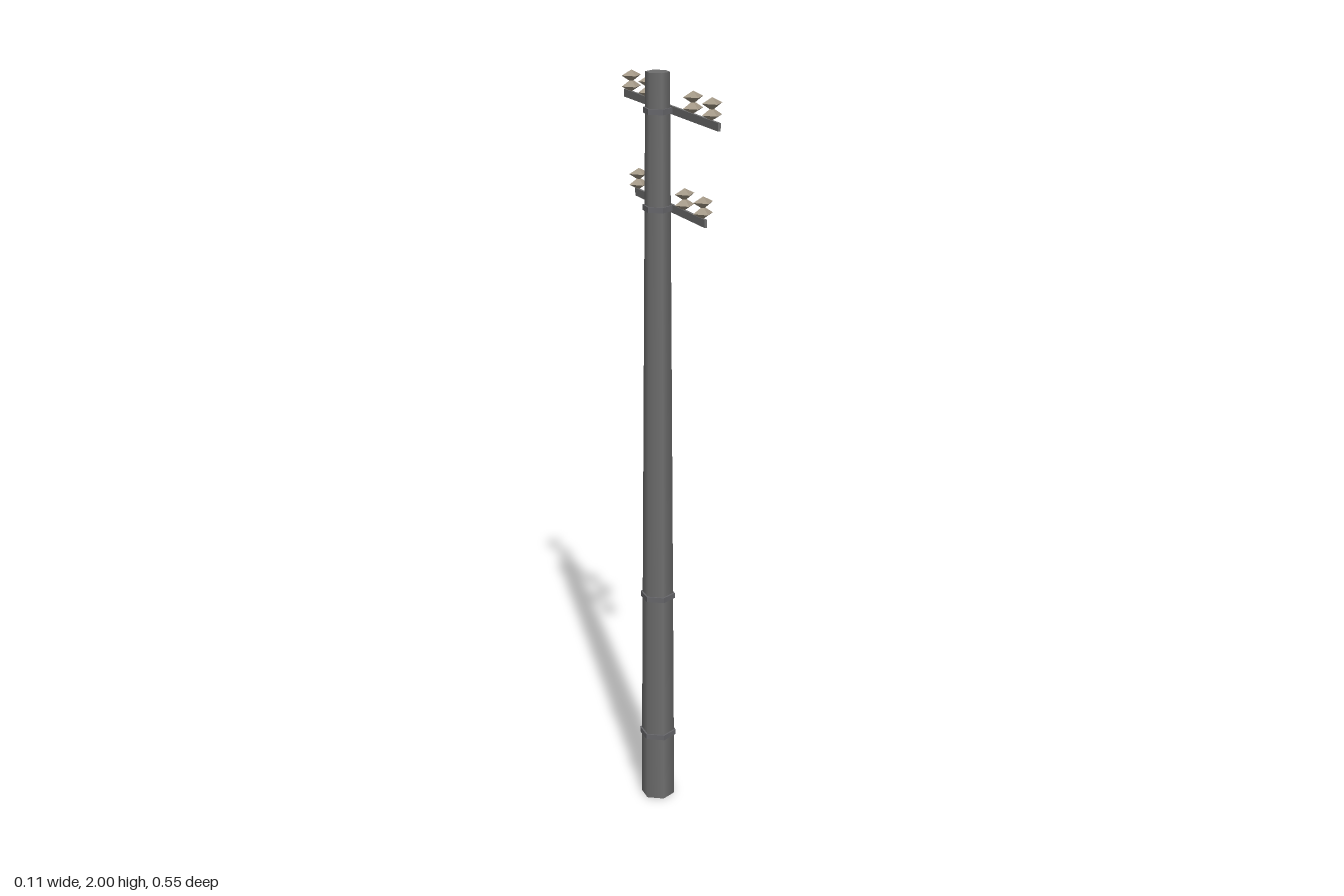
import * as THREE from 'three';

const POLE_X = -0.01;
const TWIST = -0.078; // small turn of the six-sided pole
const BASE_R = 0.046;
const TOP_R = 0.031;

export function createModel() {
  const group = new THREE.Group();
  group.name = 'utilityPole';

  const mat = (name, color, flatShading = false) => {
    const m = new THREE.MeshStandardMaterial({ color, flatShading });
    m.name = name;
    return m;
  };
  const poleGrey = mat('poleGrey', 0x6e6e6e);
  const metalGrey = mat('metalGrey', 0x66666a, true);
  const ceramic = mat('ceramicBeige', 0xa39886, true);

  const add = (name, geometry, material, x, y, z) => {
    const mesh = new THREE.Mesh(geometry, material);
    mesh.name = name;
    mesh.position.set(x, y, z);
    group.add(mesh);
    return mesh;
  };
  const poleRadius = (y) => BASE_R + (TOP_R - BASE_R) * (y / 2);

  // Tapered six-sided pole
  add('pole', new THREE.CylinderGeometry(TOP_R, BASE_R, 2, 6, 1, false, TWIST), poleGrey, POLE_X, 1, 0);

  // Clamping bands around the pole
  for (const y of [0.19, 0.6, 1.66, 1.905]) {
    const r = poleRadius(y) + 0.005;
    add('band', new THREE.CylinderGeometry(r, r, 0.014, 6, 1, false, TWIST), metalGrey, POLE_X, y, 0);
  }

  // Insulator: two stacked four-sided double cones
  const insulatorProfile = [
    [0, 0], [0.008, 0.003], [0.027, 0.013], [0.006, 0.027],
    [0.027, 0.041], [0, 0.055],
  ].map(([r, y]) => new THREE.Vector2(r, y));
  const insulatorGeometry = new THREE.LatheGeometry(insulatorProfile, 4);

  // Crossarms, each with four insulators
  const arms = [
    { y: 1.905, half: 0.273, spots: [0.13, 0.233] },
    { y: 1.658, half: 0.204, spots: [0.085, 0.189] },
  ];
  for (const { y, half, spots } of arms) {
    add('crossarm', new THREE.BoxGeometry(0.007, 0.02, half * 2), poleGrey, 0.024, y, 0);
    for (const spot of spots) {
      for (const side of [-1, 1]) {
        add('insulator', insulatorGeometry, ceramic, 0.024, y + 0.01, side * spot);
      }
    }
  }

  return group;
}
